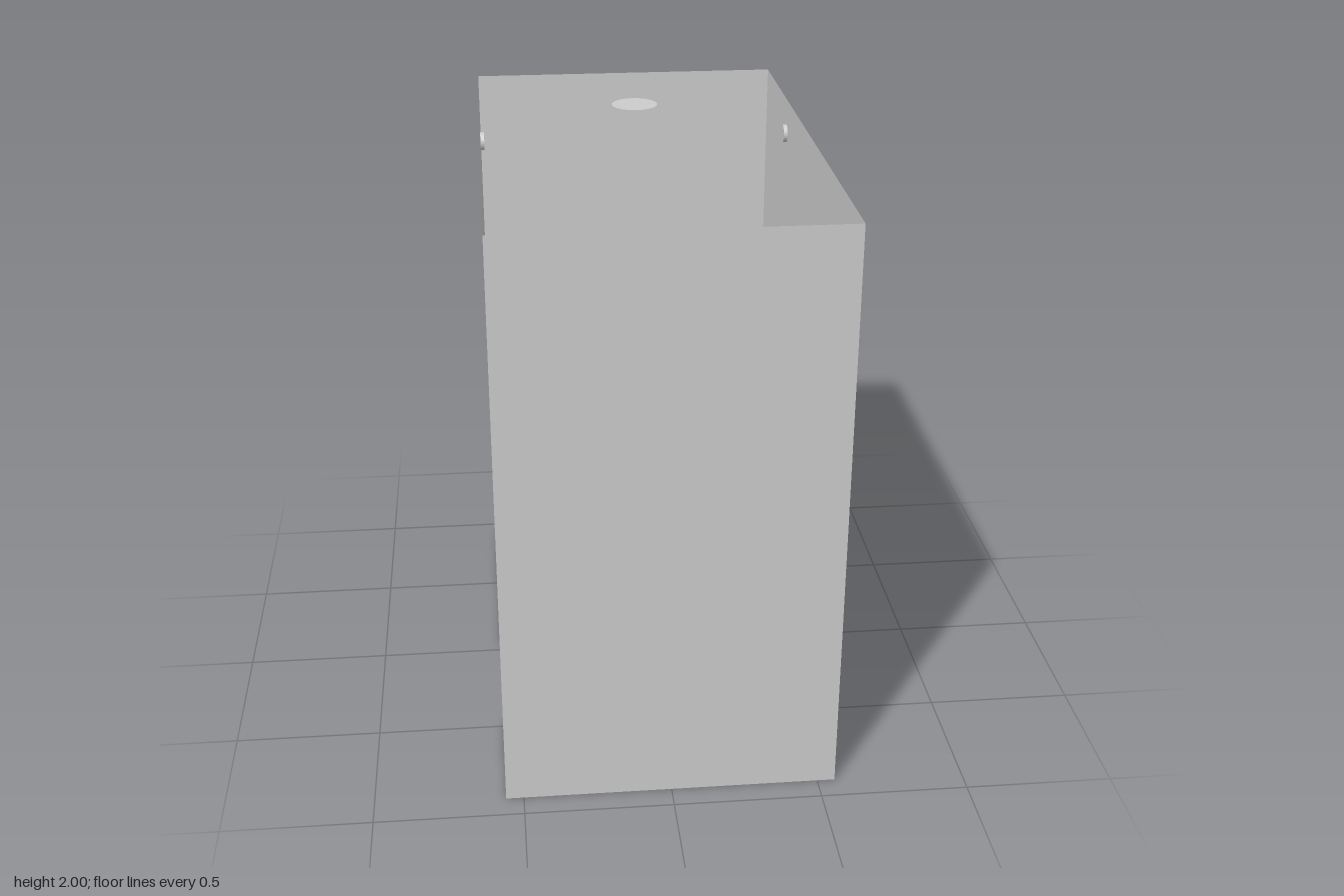
import * as THREE from 'three';

const W = 0.56, D = 0.915, H = 2;
const LOW = 0.55, HIGH = 0.79;      // underside and top of the cabinets
const FRAME = 0.035, T = 0.02;

const solid = new THREE.MeshStandardMaterial({ color: 0xcccccc });
const sheet = new THREE.MeshStandardMaterial({ color: 0xcccccc, side: THREE.DoubleSide });

function add(parent, name, geometry, material = solid) {
  const mesh = new THREE.Mesh(geometry, material);
  mesh.name = name;
  parent.add(mesh);
  return mesh;
}

function outline(points) {
  return new THREE.Shape(points.map(([x, y]) => new THREE.Vector2(x, y)));
}

// Horizontal slab from a list of [x, z] corners
function slab(points, y) {
  const shape = outline(points.map(([x, z]) => [x, -z]));
  const geometry = new THREE.ExtrudeGeometry(shape, { depth: T, bevelEnabled: false });
  return geometry.rotateX(-Math.PI / 2).translate(0, y, 0);
}

// Upright cabinet face with a row of rectangular openings
function openFace(length, bays) {
  const height = HIGH - LOW;
  const shape = outline([[0, 0], [length, 0], [length, height], [0, height]]);
  const step = (length - FRAME) / bays;
  for (let i = 0; i < bays; i++) {
    const a = FRAME + i * step, b = (i + 1) * step;
    shape.holes.push(outline([[a, FRAME], [a, height - FRAME], [b, height - FRAME], [b, FRAME]]));
  }
  return new THREE.ExtrudeGeometry(shape, { depth: T, bevelEnabled: false });
}

function cabinet(name, corners, faces) {
  const group = new THREE.Group();
  group.name = name;
  add(group, 'cabinetTop', slab(corners, HIGH - T));
  add(group, 'cabinetBottom', slab(corners, LOW));
  for (const { x, z, length, bays, turn } of faces) {
    const face = add(group, 'openFace', openFace(length, bays));
    face.position.set(x, LOW, z);
    face.rotation.y = turn;
  }
  return group;
}

export function createModel() {
  const model = new THREE.Group();
  model.name = 'room';

  // Thin walls, open above and below
  for (const side of [1, -1]) {
    const wall = add(model, side > 0 ? 'frontWall' : 'backWall', new THREE.PlaneGeometry(2 * W, H), sheet);
    wall.position.set(0, H / 2, side * D);
  }
  const leftWall = add(model, 'leftWall', new THREE.PlaneGeometry(2 * D, H), sheet);
  leftWall.position.set(W, H / 2, 0);
  leftWall.rotation.y = Math.PI / 2;

  // Wall with a doorway reaching the floor
  const doorway = outline([[-D, 0], [-0.5, 0], [-0.5, 1.675], [0.01, 1.675], [0.01, 0], [D, 0], [D, H], [-D, H]]);
  const doorWall = add(model, 'doorWall', new THREE.ShapeGeometry(doorway), sheet);
  doorWall.position.x = -W;
  doorWall.rotation.y = Math.PI / 2;

  // L-shaped counter along the back and left walls
  const inX = 0.165, inZ = -0.52, e = 0.002;
  const w = W - e, d = D - e;
  model.add(cabinet('cornerCounter',
    [[-w, -d], [w, -d], [w, d], [inX, d], [inX, inZ], [-w, inZ]],
    [
      { x: -w, z: inZ - T, length: inX + w, bays: 2, turn: 0 },
      { x: inX + T, z: inZ, length: d - inZ, bays: 3, turn: -Math.PI / 2 },
    ]));

  // Small cabinet beside the doorway
  const smallX = -0.33, smallZ = 0.49;
  model.add(cabinet('smallCabinet',
    [[-w, smallZ], [smallX, smallZ], [smallX, d], [-w, d]],
    [
      { x: -w, z: smallZ, length: smallX + w, bays: 1, turn: 0 },
      { x: smallX, z: smallZ, length: d - smallZ, bays: 1, turn: -Math.PI / 2 },
    ]));

  // Round ceiling lamp
  const lamp = add(model, 'ceilingLamp', new THREE.CircleGeometry(0.082, 48), sheet);
  lamp.rotation.x = -Math.PI / 2;
  lamp.position.set(0, H, -0.46);

  // Small round fittings high on the walls
  for (const [x, z, turn] of [[-0.553, -0.45, 0], [0.551, -0.45, 0], [-0.518, 0.86, 0.54]]) {
    const disc = new THREE.CylinderGeometry(0.032, 0.032, 0.014, 24).rotateZ(Math.PI / 2);
    const fitting = add(model, 'wallFitting', disc);
    fitting.position.set(x, 1.88, z);
    fitting.rotation.y = turn;
  }
  return model;
}
